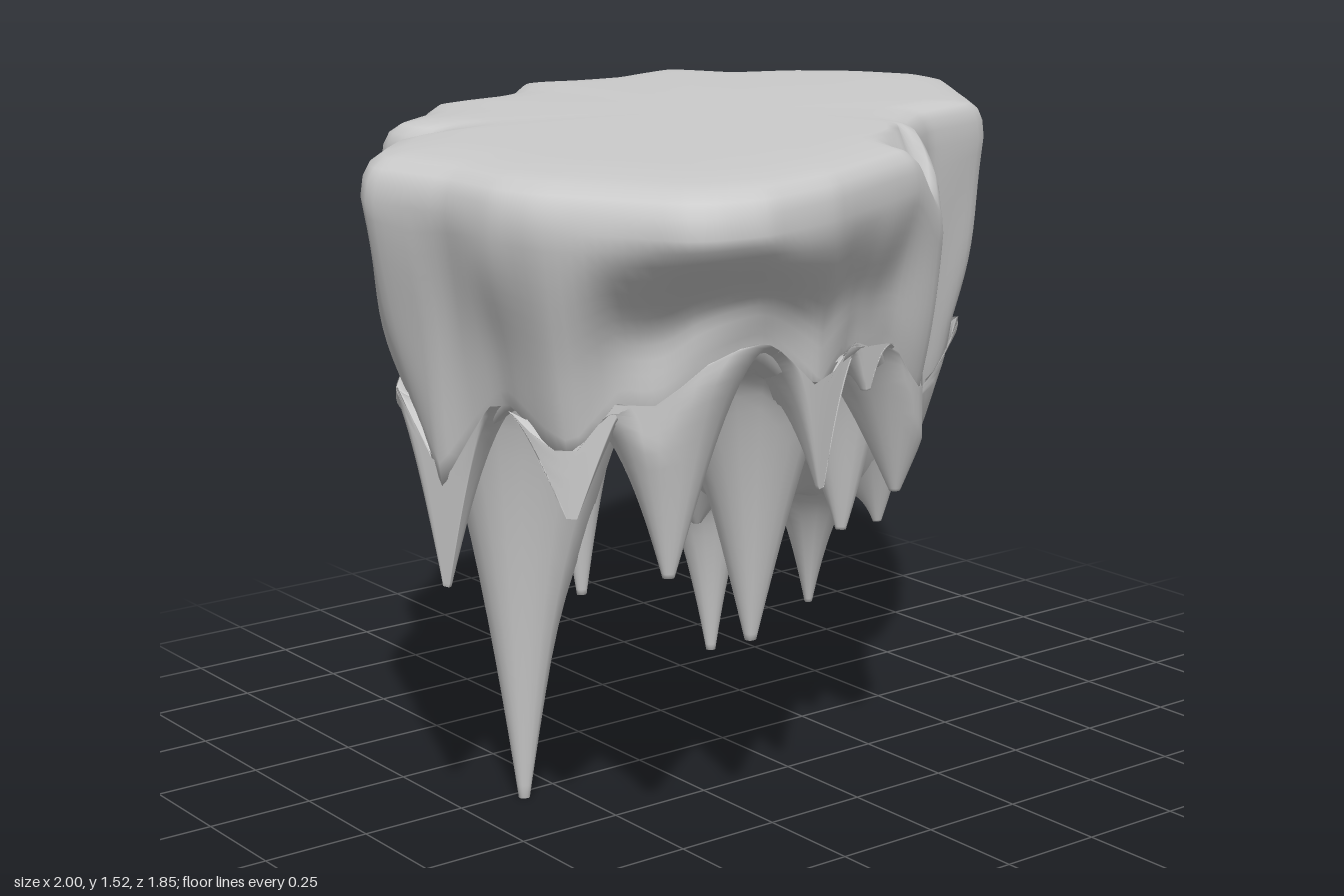
import * as THREE from 'three';

// Outline of the plateau (x, z), clockwise from above
const OUTLINE = [
  [-1, 0.08], [-0.95, -0.02], [-0.82, -0.15], [-0.69, -0.19], [-0.65, -0.24], [-0.68, -0.32],
  [-0.67, -0.4], [-0.52, -0.51], [-0.39, -0.66], [-0.22, -0.69], [-0.12, -0.73], [-0.04, -0.82],
  [0.04, -0.9], [0.15, -0.87], [0.3, -0.86], [0.53, -0.93], [0.63, -0.76], [0.8, -0.69],
  [0.93, -0.57], [1, -0.43], [0.97, -0.28], [0.8, -0.02], [0.68, 0.15], [0.45, 0.22],
  [0.34, 0.3], [0.27, 0.37], [0.23, 0.49], [0.14, 0.6], [-0.02, 0.69], [-0.38, 0.86],
  [-0.6, 0.92], [-0.71, 0.91], [-0.78, 0.87], [-0.93, 0.6], [-0.96, 0.48], [-0.96, 0.3],
];

// Hanging spikes: x, z, tip height, flare radius
const SPIKES = [
  [-0.6, 0.03, 0, 0.31], [0.12, -0.2, 0.15, 0.19], [0.3, -0.04, 0.28, 0.18], [-0.02, 0.1, 0.4, 0.17],
  [-0.33, 0.52, 0.45, 0.24], [-0.48, 0.1, 0.48, 0.15], [-0.12, 0.25, 0.55, 0.17], [0.38, -0.33, 0.5, 0.15],
  [0.52, -0.72, 0.53, 0.18], [0.3, -0.79, 0.46, 0.19], [0.05, -0.59, 0.58, 0.18], [-0.2, -0.55, 0.7, 0.17],
  [-0.5, -0.38, 0.7, 0.17], [0.05, -0.77, 0.75, 0.17], [0.66, -0.42, 0.7, 0.17], [0.79, -0.27, 0.92, 0.15],
  [0.77, -0.52, 0.92, 0.15], [0.5, 0.08, 0.64, 0.15], [0.12, 0.29, 0.57, 0.15], [0.1, 0.5, 0.71, 0.2],
  [-0.29, 0.47, 0.67, 0.17], [-0.31, 0.73, 0.83, 0.19], [-0.65, 0.65, 0.68, 0.19], [-0.84, 0.58, 0.82, 0.16],
  [-0.9, 0.2, 0.6, 0.19], [-0.82, 0.02, 0.85, 0.16], [0.22, -0.36, 0.5, 0.12], [0, -0.1, 0.52, 0.12],
  [0.63, 0.04, 0.84, 0.16], [-0.12, 0.65, 1.0, 0.14], [0.42, -0.5, 0.64, 0.15], [0.4, 0.1, 0.5, 0.12],
];

const N = 220;
const rim = (() => {
  const curve = new THREE.CatmullRomCurve3(
    OUTLINE.map(([x, z]) => new THREE.Vector3(x, 0, z)), true, 'catmullrom', 0.2);
  return curve.getSpacedPoints(N).slice(0, N);
})();

const smooth = (x, a, b) => THREE.MathUtils.smoothstep(x, a, b);

// Scale of the wall's foot against the rim: undercut at the right end and the front corner
const foot = (x, z) => 0.93 - 0.05 * smooth(x, 0.6, 0.88) - 0.07 * smooth(z, 0.55, 0.88);

// How strongly a point belongs to the shoulder of a nearby spike
function shoulder(x, z) {
  let drop = 0;
  for (const [sx, sz, tip] of SPIKES) {
    const f = Math.max(0, 1 - Math.hypot(x - sx, z - sz) / 0.19);
    drop = Math.max(drop, Math.min(0.22, (1.05 - tip) * 0.5) * f ** 1.4);
  }
  return drop;
}

// Height of the underside: raised front corner, hanging core, spike shoulders
function underside(x, z) {
  const core = 1 - smooth(Math.hypot((x - 0.19) * 0.9, (z + 0.07) * 1.05), 0.16, 0.5);
  const base = 1.03 + 0.16 * smooth(z, 0.5, 0.85) + 0.025 * Math.sin(9 * x + 2) * Math.cos(8 * z);
  return base - 0.42 * core - shoulder(x, z) * (1 - 0.7 * core);
}

// Sloping dent in the lip at the front notch
const dent = (x, z) => 0.12 * (1 - smooth(Math.hypot(x - 0.16, z - 0.56), 0.02, 0.21));

// Pull a point back inside the foot of the wall
function keepInside(x, z) {
  for (let j = 0; j < N; j++) {
    const a = rim[j], b = rim[(j + 1) % N];
    const fromA = a.x * z - a.z * x, toB = x * b.z - z * b.x;
    if (fromA < 0 || toB < 0 || a.x * x + a.z * z <= 0) continue;
    const s = (fromA + toB) / (a.x * b.z - a.z * b.x);
    const limit = foot(x / s, z / s) - 0.005;
    return s > limit ? [x * limit / s, z * limit / s] : [x, z];
  }
  return [x, z];
}

// Surface through closed loops of equal length
function loft(rings) {
  const n = rings[0].length, index = [];
  for (let i = 0; i < rings.length - 1; i++) {
    for (let j = 0; j < n; j++) {
      const a = i * n + j, b = i * n + (j + 1) % n;
      index.push(a, b, a + n, b, b + n, a + n);
    }
  }
  const geo = new THREE.BufferGeometry();
  geo.setAttribute('position', new THREE.Float32BufferAttribute(rings.flat(2), 3));
  geo.setIndex(index);
  geo.computeVertexNormals();
  return geo;
}

// Rock body: top, rounded lip, tapering rugged wall, underside
function bodyGeometry() {
  const rings = [];
  const addRing = (fn) => rings.push(rim.map(fn));

  for (const [s, y] of [[0, 1.525], [0.4, 1.525], [0.75, 1.52], [0.8, 1.518]]) {
    addRing((p) => [p.x * s, y, p.z * s]);
  }
  for (const [s, y] of [[0.88, 1.513], [0.94, 1.505], [0.975, 1.487], [0.993, 1.46], [1, 1.42]]) {
    addRing((p) => [p.x * s, y - dent(p.x * s, p.z * s), p.z * s]);
  }
  const WALL = 12;
  for (let k = 1; k <= WALL; k++) {
    const t = k / WALL;
    addRing((p) => {
      const f = foot(p.x, p.z);
      const low = underside(p.x * f, p.z * f);
      const ridge = shoulder(p.x * f, p.z * f) / 0.22;
      const rugged = Math.sin(11 * p.x + 7 * p.z + 3 * t) * Math.sin(13 * p.z - 5 * p.x);
      const lean = THREE.MathUtils.lerp(t ** 1.3, smooth(t, 0, 0.7), smooth(p.z, 0.5, 0.85));
      const s = 1 - lean * (1 - f) - 0.04 * (1 - ridge) * t ** 1.5 + 0.02 * rugged * Math.sin(t * Math.PI);
      return [p.x * s, THREE.MathUtils.lerp(1.42 - dent(p.x, p.z), low, t), p.z * s];
    });
  }
  for (let k = 0; k <= 32; k++) {
    addRing((p) => {
      const s = foot(p.x, p.z) * 0.95 * (1 - k / 32);
      return [p.x * s, underside(p.x * s, p.z * s), p.z * s];
    });
  }
  return loft(rings);
}

// Spike: a skirt that melts into the underside and sharpens towards its tip
function spikeGeometry(x, z, tip, radius, seed) {
  const SIDES = 18, STEPS = 18, rings = [];
  const depth = underside(x, z) - tip;
  for (let k = STEPS; k >= -1; k--) {
    const u = Math.max(k, 0) / STEPS;
    const r = k < 0 ? 0 : 0.011 + (radius - 0.011) * u ** 1.5;
    const f = 1 - u ** 1.5;
    rings.push(Array.from({ length: SIDES }, (_, j) => {
      const a = j / SIDES * Math.PI * 2;
      const wobble = r * (1 + 0.16 * Math.sin(2 * a + seed) + 0.08 * Math.sin(3 * a + seed * 2));
      const [px, pz] = keepInside(x + wobble * Math.cos(a), z + wobble * Math.sin(a));
      const melt = THREE.MathUtils.lerp(underside(px, pz) + 0.012, underside(x, z), f ** 2);
      return [px, melt - depth * f ** 2.9, pz];
    }));
  }
  return loft(rings);
}

export function createModel() {
  const group = new THREE.Group();
  const rock = new THREE.MeshStandardMaterial({ color: 0xcccccc, side: THREE.DoubleSide });

  const body = new THREE.Mesh(bodyGeometry(), rock);
  body.name = 'rockBody';
  group.add(body);

  const spikes = new THREE.Group();
  spikes.name = 'hangingSpikes';
  SPIKES.forEach(([x, z, tip, radius], i) => {
    const spike = new THREE.Mesh(spikeGeometry(x, z, tip, radius, i * 1.7), rock);
    spike.name = 'spike';
    spikes.add(spike);
  });
  group.add(spikes);
  return group;
}
